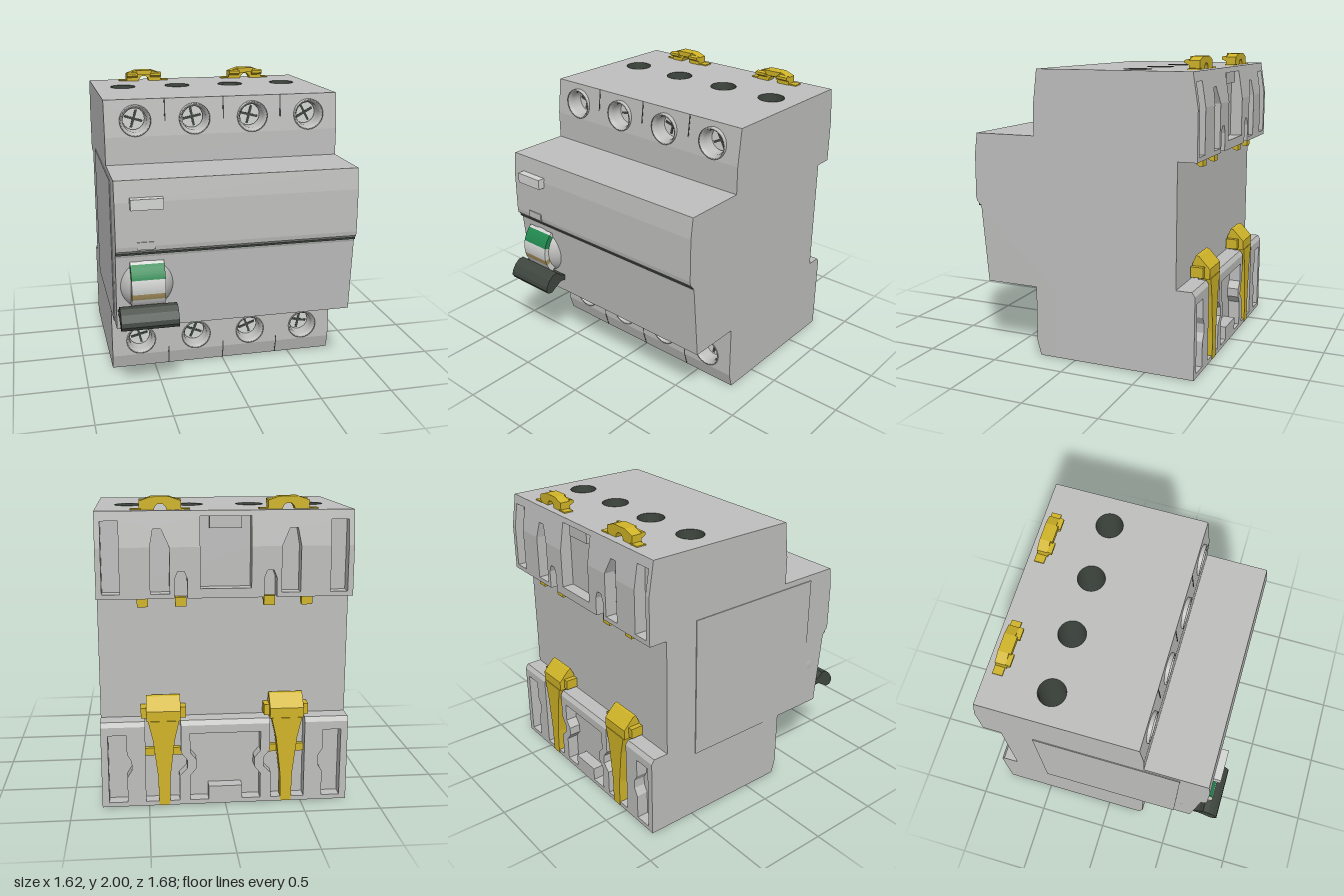
import * as THREE from 'three';

const mat = (name, color) => new THREE.MeshStandardMaterial({ name, color, side: THREE.DoubleSide });

export function createModel() {
  const root = new THREE.Group();
  root.name = 'circuitBreaker';
  const grey = mat('housingGrey', 0xbebfbd);
  const light = mat('lightGrey', 0xd3d5d3);
  const dark = mat('charcoal', 0x3f463f);
  const yellow = mat('clipYellow', 0xd0b428);
  const green = mat('indicatorGreen', 0x22894f);
  const tan = mat('brass', 0xa89360);

  const add = (name, geo, material, parent = root) => {
    const m = new THREE.Mesh(geo, material);
    m.name = name;
    parent.add(m);
    return m;
  };
  const poly = pts => new THREE.Shape(pts.map(p => new THREE.Vector2(...p)));
  const circle = (x, y, r) => new THREE.Path().absarc(x, y, r, 0, Math.PI * 2, true);
  const extrude = (shape, depth) =>
    new THREE.ExtrudeGeometry(shape, { depth, bevelEnabled: false, curveSegments: 20 });
  // Box given by its limits
  const box = (x0, x1, y0, y1, z0, z1) =>
    new THREE.BoxGeometry(x1 - x0, y1 - y0, z1 - z0).translate((x0 + x1) / 2, (y0 + y1) / 2, (z0 + z1) / 2);
  // Profile of [z, y] points swept along x
  const sweepX = (pts, x0, x1) => extrude(poly(pts), x1 - x0).rotateY(-Math.PI / 2).translate(x1, 0, 0);
  // Outline in x, y given thickness from z0 to z1
  const slab = (shape, z0, z1) => extrude(shape, z1 - z0).translate(0, 0, z0);
  // Moves the vertices lying at depth z by a rule of y
  const slope = (geo, z, rule) => {
    const p = geo.attributes.position;
    for (let i = 0; i < p.count; i++) if (Math.abs(p.getZ(i) - z) < 1e-4) p.setZ(i, z + rule(p.getY(i)));
    geo.computeVertexNormals();
    return geo;
  };

  const W = 0.805, H = 1.92, poles = [-0.6, -0.2, 0.2, 0.6];

  // Core with the vertical wire bores
  const core = poly([[-W, -0.14], [W, -0.14], [W, 0.71], [-W, 0.71]]);
  poles.forEach(x => core.holes.push(circle(x, 0.365, 0.09)));
  add('core', extrude(core, H).rotateX(-Math.PI / 2), grey);
  poles.forEach(x => {
    add('wireBore', new THREE.CylinderGeometry(0.0895, 0.0895, H + 0.004, 24, 1, true).translate(x, H / 2, -0.365), dark);
    add('terminal', new THREE.CylinderGeometry(0.057, 0.057, 1.0, 20).translate(x, H / 2, -0.365), tan);
  });

  // Raised front block
  add('frontBlock', sweepX([[0.14, 0.475], [0.645, 0.475], [0.69, 0.98], [0.7, 1.005], [0.725, 1.03],
    [0.73, 1.06], [0.728, 1.35], [0.71, 1.49], [0.14, 1.49]], -W, W), grey);
  add('frontGroove', box(-W, W, 1.0, 1.012, 0.69, 0.709), dark);
  add('sidePanel', box(-0.811, -W, 0.48, 1.45, -0.48, 0.52), grey);
  add('testButton', box(-0.71, -0.5, 1.31, 1.38, 0.7, 0.775), light);
  add('buttonNub', box(-0.67, -0.55, 1.04, 1.09, 0.7, 0.737), grey);

  // Terminal faces above and below the front block, pierced for the screws
  const terminalFace = (y0, y1, yHole) => {
    const s = poly([[-W, y0], [W, y0], [W, y1], [-W, y1]]);
    poles.forEach(x => s.holes.push(circle(x, yHole, 0.1)));
    return slab(s, 0.14, 0.278);
  };
  add('upperTerminalFace', slope(terminalFace(1.675, H, 1.78), 0.278, y => -0.12 * (y - 1.675)), grey);
  add('upperTerminalStrip', box(-W, W, 1.49, 1.675, 0.14, 0.278), grey);
  add('lowerTerminalFace', terminalFace(0.1, 0.475, 0.21), grey);
  add('lowerTerminalStrip', sweepX([[0.14, 0], [0.25, 0], [0.278, 0.1], [0.14, 0.1]], -W, W), grey);

  // Screws with raised rims and cross slots
  const rim = [[0.08, 0.14], [0.08, 0.25], [0.094, 0.28], [0.105, 0.28], [0.105, 0.2]].map(p => new THREE.Vector2(...p));
  const addScrew = (x, y, turn) => {
    const g = new THREE.Group();
    g.name = 'screw';
    g.position.set(x, y, 0);
    root.add(g);
    add('screwRim', new THREE.LatheGeometry(rim, 28).rotateX(Math.PI / 2), grey, g);
    add('screwHead', new THREE.CylinderGeometry(0.075, 0.075, 0.05, 24).rotateX(Math.PI / 2).translate(0, 0, 0.155), light, g);
    for (const a of [turn, turn + Math.PI / 2])
      add('screwSlot', new THREE.BoxGeometry(0.016, 0.125, 0.006).rotateZ(a).translate(0, 0, 0.181), dark, g);
  };
  [-0.3, 0.2, -0.25, 0.5].forEach((a, i) => addScrew(poles[i], 1.78, a));
  [0.25, -0.4, 0.35, -0.2].forEach((a, i) => addScrew(poles[i], 0.21, a));

  // Grooves between the poles
  for (const x of [-0.4, 0, 0.4]) {
    add('upperDivider', new THREE.BoxGeometry(0.007, 0.15, 0.006).rotateX(-0.12).translate(x, 1.845, 0.257), dark);
    add('lowerDivider', sweepX([[0.24, 0], [0.252, 0], [0.28, 0.1], [0.28, 0.14], [0.24, 0.14]], x - 0.0035, x + 0.0035), dark);
  }

  // Toggle: dome, drum with coloured bands, and handle
  const tx = -0.605, ty = 0.79, tz = 0.565;
  add('toggleDome', new THREE.SphereGeometry(0.203, 36, 24).translate(tx, ty, tz), grey);
  const band = (name, y0, y1, m) => {
    const r = 0.206, a0 = Math.asin((y0 - ty) / r), a1 = Math.asin((y1 - ty) / r);
    const pts = [[tz, ty]];
    for (let i = 0; i <= 6; i++) {
      const a = a0 + (a1 - a0) * i / 6;
      pts.push([tz + r * Math.cos(a), ty + r * Math.sin(a)]);
    }
    add(name, sweepX(pts, tx - 0.11, tx + 0.11), m);
  };
  band('drumLower', 0.64, 0.71, light);
  band('drumBrassBand', 0.71, 0.75, tan);
  band('drumMiddle', 0.75, 0.845, light);
  band('drumGreenBand', 0.845, 0.935, green);
  band('drumTop', 0.935, 0.95, light);
  add('handle', sweepX([[0.66, 0.58], [0.7, 0.585], [0.75, 0.555], [0.79, 0.53], [0.825, 0.535], [0.84, 0.56],
    [0.835, 0.59], [0.805, 0.635], [0.77, 0.662], [0.73, 0.665], [0.7, 0.635], [0.66, 0.62]], -0.795, -0.42), dark);

  // Rear upper block: pocketed plate, upright below and sloped above
  const zf = -0.755, zb = -0.835, seam = 1.7;
  add('upperRearFloor', box(-W, W, 1.38, 1.9, zf, -0.71), grey);
  // each pocket: left, right, top left, top right, top height, bottom height
  const pockets = [
    [-0.77, -0.66, -0.77, -0.66, 1.86, 1.41], [-0.47, -0.35, -0.45, -0.4, 1.81, 1.41],
    [-0.16, 0.16, -0.16, 0.16, 1.885, 1.44], [0.35, 0.47, 0.4, 0.45, 1.81, 1.41],
    [0.66, 0.77, 0.66, 0.77, 1.86, 1.41]];
  const upper = [[-W, seam]], lower = [[-W, seam]];
  for (const [a, b, c, d, top, bottom] of pockets) {
    upper.push([a, seam], [c, top], [d, top], [b, seam]);
    lower.push([a, seam], [a, bottom], [b, bottom], [b, seam]);
  }
  upper.push([W, seam], [W, H], [-W, H]);
  lower.push([W, seam], [W, 1.38]);
  for (const x of [0.28, -0.28]) // slots for the clip feet
    lower.push([x + 0.04, 1.38], [x + 0.04, 1.5], [x + 0.02, 1.55], [x - 0.02, 1.55], [x - 0.04, 1.5], [x - 0.04, 1.38]);
  lower.push([-W, 1.38]);
  add('upperRearSlope', slope(slab(poly(upper), zb, zf), zb, y => 0.16 * (y - seam)), grey);
  add('upperRearPlate', slab(poly(lower), zb, zf), grey);
  add('upperRearCap', box(-W, W, 1.89, H, zf, -0.71), grey);
  add('upperRearStop', box(-0.1, 0.1, 1.81, 1.9, -0.795, zf), grey);

  // Rear lower block with pockets and kinked ribs
  add('lowerRearFloor', box(-W, W, 0, 0.575, zf, -0.71), grey);
  const rear = poly([[-W, 0], [W, 0], [W, 0.545], [0.52, 0.545], [0.52, 0.03], [0.3, 0.03], [0.3, 0.2], [0.25, 0.25],
    [0.25, 0.31], [0.29, 0.36], [0.29, 0.545], [-0.29, 0.545], [-0.29, 0.36], [-0.25, 0.31], [-0.25, 0.25],
    [-0.3, 0.2], [-0.3, 0.03], [-0.52, 0.03], [-0.52, 0.545], [-W, 0.545]]);
  for (const s of [-1, 1])
    rear.holes.push(new THREE.Path([[0.64, 0.03], [0.76, 0.03], [0.76, 0.49], [0.64, 0.49], [0.64, 0.36], [0.61, 0.31],
      [0.61, 0.25], [0.64, 0.2]].map(([x, y]) => new THREE.Vector2(s * x, y))));
  rear.holes.push(new THREE.Path([[-0.23, 0.03], [0.23, 0.03], [0.23, 0.2], [0.19, 0.25], [0.19, 0.31], [0.23, 0.36],
    [0.23, 0.49], [-0.23, 0.49], [-0.23, 0.36], [-0.19, 0.31], [-0.19, 0.25], [-0.23, 0.2]]
    .map(p => new THREE.Vector2(...p))));
  add('lowerRearPlate', slab(rear, zb, zf), grey);
  const rail = [[zf, 0.545], [zf, 0.575], [-0.815, 0.575], [zb, 0.545]];
  for (const [a, b] of [[-W, -0.52], [-0.29, 0.29], [0.52, W]]) add('lowerRearRail', sweepX(rail, a, b), grey);
  add('lowerRearStop', box(-0.11, 0.11, 0.02, 0.12, zb, zf), grey);

  // Yellow rail clips, one pair on each side
  for (const cx of [-0.4, 0.4]) {
    const g = new THREE.Group();
    g.name = 'railClip';
    g.position.x = cx;
    root.add(g);
    const arch = poly([[-0.13, 1.92], [-0.13, 1.975], [-0.06, 2], [0.06, 2], [0.13, 1.975], [0.13, 1.92], [0.04, 1.92],
      [0.033, 1.94], [0.015, 1.957], [-0.015, 1.957], [-0.033, 1.94], [-0.04, 1.92]]);
    add('upperClipArch', slab(arch, -0.75, -0.68), yellow, g);
    add('upperClipLip', box(-0.06, 0.06, 1.965, 2, -0.68, -0.665), yellow, g);
    for (const s of [-1, 1]) {
      add('upperClipLip', sweepX([[-0.68, 1.945], [-0.65, 1.96], [-0.65, 1.978], [-0.68, 1.985]], s * 0.09 - 0.04, s * 0.09 + 0.04), yellow, g);
      add('upperClipEnd', box(s * 0.15 - 0.035, s * 0.15 + 0.035, H - 0.01, H + 0.008, -0.755, -0.69), yellow, g);
      add('upperClipFoot', sweepX([[-0.73, 1.38], [-0.74, 1.34], [-0.765, 1.32], [-0.79, 1.32], [-0.79, 1.38]],
        s * 0.12 - 0.035, s * 0.12 + 0.035), yellow, g);
      add('lowerClipBarb', box(s * 0.1 - 0.04, s * 0.1 + 0.04, 0.33, 0.38, -0.785, zf), yellow, g);
    }
    add('lowerClipHead', sweepX([[-0.715, 0.578], [-0.715, 0.67], [-0.74, 0.73], [-0.76, 0.725], [-0.835, 0.645],
      [-0.835, 0.578]], -0.11, 0.11), yellow, g);
    add('lowerClipShoulder', box(-0.145, 0.145, 0.59, 0.66, -0.8, -0.715), yellow, g);
    const stem = poly([[-0.1, 0.58], [-0.07, 0.45], [-0.04, 0.2], [-0.035, 0.005], [0.035, 0.005], [0.04, 0.2],
      [0.07, 0.45], [0.1, 0.58]]);
    add('lowerClipStem', slab(stem, -0.84, -0.775), yellow, g);
    add('clipBottomSlot', box(-0.14, 0.14, -0.002, 0.003, -0.75, -0.69), dark, g);
    add('clipBottomTab', box(-0.1, 0.1, -0.004, 0.003, -0.74, -0.7), yellow, g);
  }
  return root;
}
